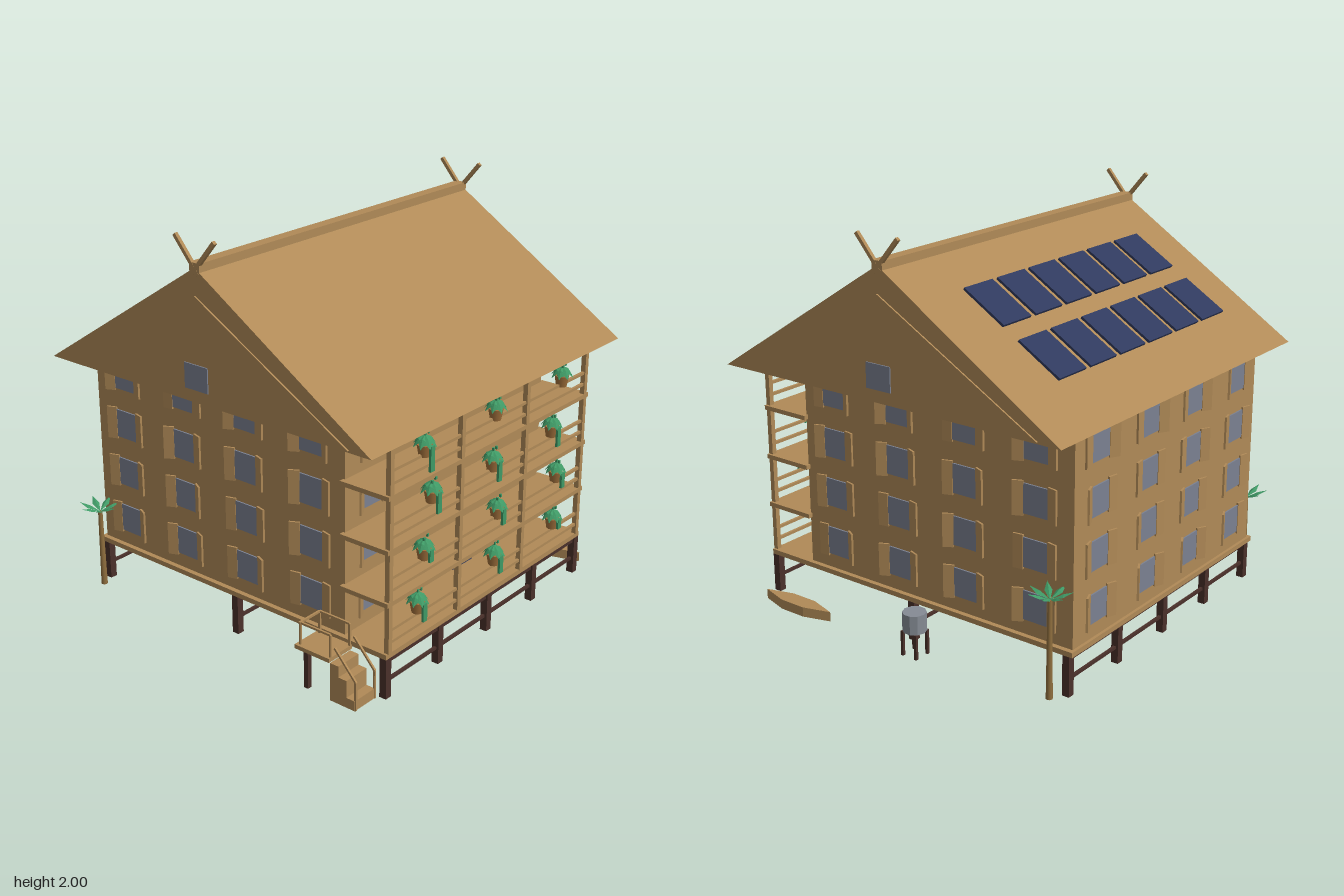
import * as THREE from 'three';

const mat = (name, color, extra = {}) => Object.assign(new THREE.MeshStandardMaterial({ color, ...extra }), { name });

export function createModel() {
  const wood = mat('wood', 0xb08a57);
  const darkWood = mat('dark wood', 0x4a302a);
  const glass = mat('glass', 0x7b8191);
  const navy = mat('navy', 0x303a5e);
  const leafGreen = mat('leaf green', 0x3f9a66, { side: THREE.DoubleSide });
  const clay = mat('clay', 0xa0703c);
  const bark = mat('bark', 0x91703f);
  const metal = mat('metal', 0x858b94, { flatShading: true });

  const root = new THREE.Group();
  root.name = 'stiltHouse';
  let seed = 7;
  const rand = () => (seed = (seed * 16807) % 2147483647) / 2147483647;

  const add = (parent, name, geo, m, x = 0, y = 0, z = 0) => {
    const mesh = new THREE.Mesh(geo, m);
    mesh.name = name;
    mesh.position.set(x, y, z);
    parent.add(mesh);
    return mesh;
  };
  const box = (parent, name, m, w, h, d, x, y, z) => add(parent, name, new THREE.BoxGeometry(w, h, d), m, x, y, z);
  const group = (name, x = 0, y = 0, z = 0, parent = root) => {
    const g = new THREE.Group();
    g.name = name;
    g.position.set(x, y, z);
    parent.add(g);
    return g;
  };
  // bar between two points of one vertical plane x = const
  const bar = (parent, name, m, x, y1, z1, y2, z2, t) => {
    const b = box(parent, name, m, t, t, Math.hypot(y2 - y1, z2 - z1), x, (y1 + y2) / 2, (z1 + z2) / 2);
    b.rotation.x = -Math.atan2(y2 - y1, z2 - z1);
    return b;
  };
  // triangular prism along x
  const prism = (half, y0, y1, length) => {
    const s = new THREE.Shape([new THREE.Vector2(-half, y0), new THREE.Vector2(half, y0), new THREE.Vector2(0, y1)]);
    return new THREE.ExtrudeGeometry(s, { depth: length, bevelEnabled: false }).translate(0, 0, -length / 2).rotateY(Math.PI / 2);
  };

  // Walls and floors
  box(root, 'walls', wood, 1.55, 1.02, 1.575, 0, 0.73, -0.117);
  box(root, 'groundFloor', wood, 1.6, 0.025, 1.845, 0, 0.2125, 0.003);
  const floors = [0.225, 0.48, 0.735, 0.99];
  for (const y of floors.slice(1)) box(root, 'balconyFloor', wood, 1.6, 0.022, 0.27, 0, y - 0.011, 0.795);

  // Balcony posts and rails
  for (const x of [-0.775, -0.26, 0.26, 0.775]) box(root, 'balconyPost', wood, 0.025, 1.015, 0.025, x, 0.73, 0.917);
  for (const y of floors) for (const dy of [0.05, 0.11]) box(root, 'balconyRail', wood, 1.55, 0.014, 0.014, 0, y + dy, 0.917);

  // Shuttered windows on every wall
  const windowUnit = (x, y, z, turn) => {
    const w = group('window', x, y, z);
    w.rotation.y = turn;
    box(w, 'pane', glass, 0.135, 0.142, 0.008, 0, 0, 0.004);
    for (const s of [-1, 1]) {
      const hinge = group('shutterHinge', s * 0.067, 0, 0.006, w);
      hinge.rotation.y = -s * (0.1 + rand() * 0.45);
      box(hinge, 'shutter', wood, 0.052, 0.165, 0.01, s * 0.026, 0, 0);
    }
  };
  floors.forEach((f, level) => {
    const y = f + 0.145;
    for (const z of [0.48, 0.085, -0.31, -0.705]) {
      windowUnit(0.775, y, z, Math.PI / 2);
      windowUnit(-0.775, y, z, -Math.PI / 2);
    }
    for (const x of [-0.59, -0.19, 0.19, 0.59]) {
      windowUnit(x, y, -0.9045, Math.PI);
      if (level || x !== 0.19) windowUnit(x, y, 0.6705, 0);
    }
  });
  box(root, 'door', navy, 0.16, 0.22, 0.009, 0.12, 0.335, 0.675);

  // Roof, gables, ridge and crossed finials
  add(root, 'roof', prism(0.978, 1.235, 1.86, 1.96), wood);
  add(root, 'gablePanels', prism(0.86, 1.245, 1.735, 1.976), wood);
  box(root, 'ridgeCap', wood, 1.96, 0.04, 0.06, 0, 1.862, 0);
  for (const s of [-1, 1]) {
    box(root, 'gableWindow', glass, 0.008, 0.12, 0.14, s * 0.99, 1.36, 0);
    for (const d of [-1, 1]) bar(root, 'finial', wood, s * 0.972, 1.83, -d * 0.018, 1.99, d * 0.118, 0.018);
  }

  // Solar panels on the rear slope
  for (const [y, z] of [[1.67, -0.352], [1.486, -0.65]]) {
    for (let i = 0; i < 6; i++) {
      const p = box(root, 'solarPanel', navy, 0.2, 0.012, 0.255, (i - 2.5) * 0.236, y, z);
      p.rotation.x = -0.55;
    }
  }

  // Stilts and tie beams
  for (const z of [0.907, 0.01, -0.885]) {
    for (const x of [-0.78, -0.39, 0, 0.39, 0.78]) box(root, 'stilt', darkWood, 0.037, 0.2, 0.037, x, 0.1, z);
    box(root, 'upperBeam', darkWood, 1.56, 0.02, 0.02, 0, 0.183, z);
    box(root, 'lowerBeam', darkWood, 1.56, 0.014, 0.014, 0, 0.08, z);
  }

  // Entry stairs with landing and handrails
  const stairs = group('stairs', -0.89);
  [[0.19, 0.762], [0.135, 0.808], [0.05, 0.855]].forEach(([h, z]) => box(stairs, 'step', wood, 0.14, h, 0.048, 0, h / 2, z));
  box(stairs, 'landing', wood, 0.16, 0.02, 0.2, 0, 0.205, 0.64);
  box(stairs, 'landingPost', darkWood, 0.024, 0.2, 0.024, -0.05, 0.1, 0.59);
  box(stairs, 'landingBackRail', wood, 0.14, 0.01, 0.01, 0, 0.325, 0.56);
  for (const x of [-0.062, 0.07]) {
    for (const z of [0.56, 0.735]) box(stairs, 'railPost', wood, 0.01, 0.12, 0.01, x, 0.265, z);
    bar(stairs, 'levelRail', wood, x, 0.325, 0.56, 0.325, 0.735, 0.01);
    bar(stairs, 'slopedRail', wood, x, 0.27, 0.76, 0.14, 0.88, 0.01);
    box(stairs, 'railPost', wood, 0.01, 0.14, 0.01, x, 0.07, 0.878);
  }

  // Folded leaves fanned round a point
  const fan = (parent, count, length, width, midY, tipY) => {
    for (let i = 0; i < count; i++) {
      const g = new THREE.BufferGeometry();
      const m = length * 0.55;
      g.setAttribute('position', new THREE.Float32BufferAttribute([
        0, 0, 0, m, midY - 0.01, width, m, midY, 0, 0, 0, 0, m, midY, 0, m, midY - 0.01, -width,
        m, midY, 0, m, midY - 0.01, width, length, tipY, 0, m, midY, 0, length, tipY, 0, m, midY - 0.01, -width], 3));
      g.computeVertexNormals();
      add(parent, 'leaf', g, leafGreen).rotation.y = (i / count) * Math.PI * 2 + 0.3;
    }
  };

  // Hanging balcony plants: [x, y, vine length]
  const plants = [
    [-0.54, 1.14, 0.12], [0, 1.14, 0], [0.56, 1.14, 0], [-0.48, 0.9, 0.1], [-0.01, 0.89, 0.1], [0.49, 0.9, 0.1],
    [-0.53, 0.64, 0.06], [0.04, 0.63, 0.08], [0.55, 0.64, 0.08], [-0.57, 0.39, 0.09], [0.03, 0.39, 0.09], [0.54, 0.39, 0.05]];
  for (const [x, y, vine] of plants) {
    const p = group('hangingPlant', x, y, 0.92);
    add(p, 'pot', new THREE.CylinderGeometry(0.036, 0.026, 0.055, 8), clay, 0, -0.02, 0);
    const top = group('foliage', 0, 0.055, 0, p);
    fan(top, 8, 0.057, 0.02, -0.015, -0.055);
    add(p, 'stems', new THREE.ConeGeometry(0.03, 0.06, 6), leafGreen, 0, 0.03, 0);
    if (vine) box(p, 'vine', leafGreen, 0.028, vine, 0.012, 0, 0.01 - vine / 2, 0.04);
    for (const s of [-1, 1]) box(p, 'sprig', leafGreen, 0.01, 0.014, 0.01, s * 0.012, 0.055 + rand() * 0.015, 0.01);
  }

  // Palm trees at the rear corners
  for (const [x, z, h] of [[0.855, -0.838, 0.48], [-0.86, -0.85, 0.405]]) {
    const palm = group('palm', x, 0, z);
    add(palm, 'trunk', new THREE.CylinderGeometry(0.011, 0.016, h, 8), bark, 0, h / 2, 0);
    fan(group('fronds', 0, h, 0, palm), 7, 0.105, 0.018, 0.03, 0.042);
  }

  // Water tank on legs
  const tank = group('waterTank', 0.897, 0, -0.097);
  add(tank, 'tankBody', new THREE.CylinderGeometry(0.058, 0.058, 0.095, 10), metal, 0, 0.172, 0);
  for (const x of [-0.04, 0.04]) for (const z of [-0.04, 0.04]) box(tank, 'tankLeg', darkWood, 0.014, 0.125, 0.014, x, 0.0625, z);

  // Beached boat
  const hull = new THREE.Shape([[0, -0.217], [0.043, -0.073], [0.043, 0.073], [0, 0.217], [-0.043, 0.073], [-0.043, -0.073]]
    .map(([a, b]) => new THREE.Vector2(a, b)));
  add(root, 'boat', new THREE.ExtrudeGeometry(hull, { depth: 0.05, bevelEnabled: false }).rotateX(-Math.PI / 2), wood, 0.893, 0, 0.667);

  return root;
}
